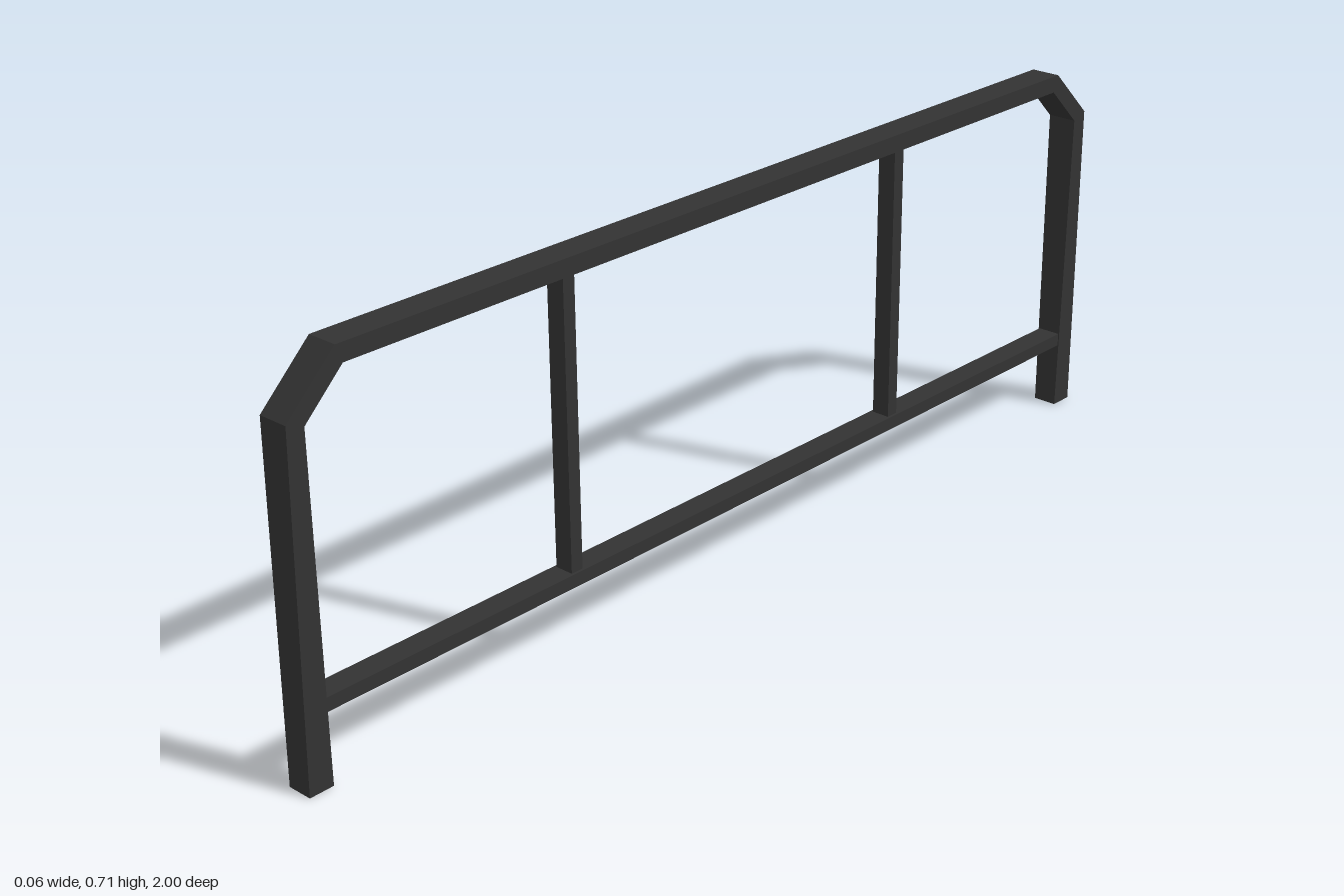
import * as THREE from 'three';

const material = new THREE.MeshStandardMaterial({ color: 0x333333, flatShading: true });

// Square tube swept in the YZ plane through mitred sections:
// each section is [outerZ, outerY, innerZ, innerY, halfWidth].
function mitredTube(sections) {
  const rings = sections.map(([oz, oy, iz, iy, w]) => [
    [-w, oy, oz], [w, oy, oz], [w, iy, iz], [-w, iy, iz],
  ]);
  const positions = [];
  const quad = (a, b, c, d) => positions.push(...a, ...b, ...c, ...a, ...c, ...d);
  for (let i = 0; i < rings.length - 1; i++) {
    const p = rings[i], q = rings[i + 1];
    for (let j = 0; j < 4; j++) {
      const k = (j + 1) % 4;
      quad(p[j], p[k], q[k], q[j]);
    }
  }
  const first = rings[0], last = rings[rings.length - 1];
  quad(first[3], first[2], first[1], first[0]);
  quad(last[0], last[1], last[2], last[3]);
  const geometry = new THREE.BufferGeometry();
  geometry.setAttribute('position', new THREE.Float32BufferAttribute(positions, 3));
  geometry.computeVertexNormals();
  return geometry;
}

function addMesh(group, name, geometry, x = 0, y = 0, z = 0) {
  const mesh = new THREE.Mesh(geometry, material);
  mesh.name = name;
  mesh.position.set(x, y, z);
  group.add(mesh);
}

export function createModel() {
  const group = new THREE.Group();
  group.name = 'barrierRail';

  // Outer frame: tapered leg, chamfered corner, top bar, mirrored to the far end
  const half = [
    [1.0, 0, 0.953, 0, 0.024],
    [0.993, 0.62, 0.96, 0.608, 0.029],
    [0.895, 0.715, 0.883, 0.683, 0.029],
  ];
  const mirrored = half.map(([oz, oy, iz, iy, w]) => [-oz, oy, -iz, iy, w]).reverse();
  addMesh(group, 'outerFrame', mitredTube([...half, ...mirrored]));

  // Lower rail between the legs
  addMesh(group, 'lowerRail', new THREE.BoxGeometry(0.046, 0.025, 1.92), 0, 0.143, 0);

  // Upright bars from lower rail to top bar
  for (const side of [1, -1]) {
    addMesh(group, side > 0 ? 'frontUpright' : 'backUpright',
      new THREE.BoxGeometry(0.036, 0.54, 0.025), 0, 0.42, side * 0.418);
  }
  return group;
}
